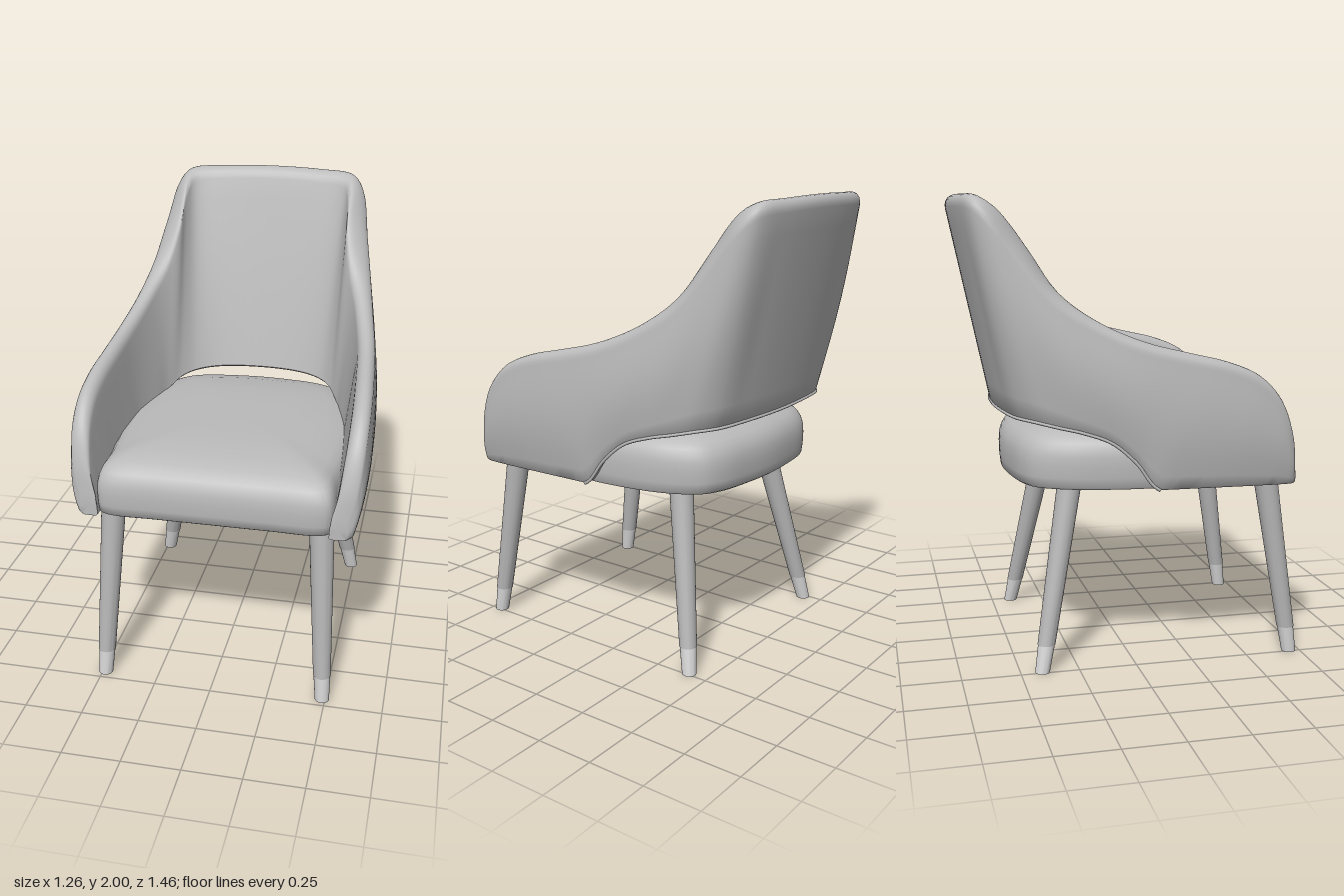
import * as THREE from 'three';
import { toCreasedNormals } from 'three/addons/utils/BufferGeometryUtils.js';

const V = (x, y, z) => new THREE.Vector3(x, y, z);
const BASE = 0.782; // underside of the upholstery

// Skins a list of equal-length closed point rings and caps both ends.
function loft(rings, crease) {
  const n = rings[0].length, pos = [], idx = [];
  rings.forEach(r => r.forEach(p => pos.push(p.x, p.y, p.z)));
  for (let i = 0; i < rings.length - 1; i++) {
    for (let j = 0; j < n; j++) {
      const a = i * n + j, b = i * n + (j + 1) % n;
      idx.push(a, b, a + n, b, b + n, a + n);
    }
  }
  [0, rings.length - 1].forEach((k, end) => {
    const c = rings[k].reduce((s, p) => s.add(p), V(0, 0, 0)).divideScalar(n);
    const m = pos.length / 3;
    pos.push(c.x, c.y, c.z);
    for (let j = 0; j < n; j++) {
      const a = k * n + j, b = k * n + (j + 1) % n;
      if (end) idx.push(a, b, m); else idx.push(b, a, m);
    }
  });
  const g = new THREE.BufferGeometry();
  g.setAttribute('position', new THREE.Float32BufferAttribute(pos, 3));
  g.setIndex(idx);
  return toCreasedNormals(g, crease);
}

// Shell stations from back centre to arm front:
// outer top xyz, outer bottom xyz, inner bottom xz
const STATIONS = [
  [0, 2.0, -0.735, 0, 1.085, -0.54, 0, -0.415],
  [0.25, 1.995, -0.72, 0.25, 1.085, -0.525, 0.2, -0.385],
  [0.405, 1.985, -0.685, 0.4, 1.08, -0.49, 0.3, -0.33],
  [0.45, 1.945, -0.635, 0.475, 1.07, -0.42, 0.355, -0.265],
  [0.482, 1.8, -0.52, 0.515, 1.05, -0.33, 0.385, -0.21],
  [0.522, 1.61, -0.375, 0.54, 1.03, -0.24, 0.41, -0.15],
  [0.555, 1.487, -0.2, 0.557, 0.985, -0.12, 0.428, -0.06],
  [0.588, 1.4, 0, 0.567, 0.9, -0.02, 0.437, 0.02],
  [0.606, 1.35, 0.2, 0.575, BASE, 0.08, 0.445, 0.1],
  [0.618, 1.31, 0.37, 0.582, BASE, 0.3, 0.465, 0.3],
  [0.622, 1.25, 0.505, 0.587, BASE, 0.48, 0.478, 0.48],
  [0.617, 1.15, 0.6, 0.587, BASE, 0.61, 0.488, 0.61],
  [0.6, 1.0, 0.658, 0.58, BASE, 0.66, 0.488, 0.665],
  [0.565, 0.87, 0.68, 0.56, BASE, 0.682, 0.488, 0.685],
];

// Samples a smooth curve through half a list of points and its mirror image.
function mirroredPoints(half, count) {
  const other = half.slice(1).reverse().map(p => V(-p.x, p.y, p.z));
  const points = new THREE.CatmullRomCurve3([...other, ...half]).getPoints(count);
  points.forEach(p => { p.y = Math.max(p.y, BASE); });
  return points;
}

// Cross-section of the shell: outer face, rounded top, inner face.
function shellRing(top, bottom, inner) {
  const d = inner.clone().sub(bottom);
  const wide = d.length();
  d.normalize();
  const up = top.clone().sub(bottom);
  const h = up.length();
  up.normalize();
  // The rim is thickest where the wings turn into the back.
  const wing = Math.exp(-(((bottom.z + 0.34) / 0.15) ** 2));
  const thin = Math.min(wide, 0.08 + 0.045 * wing), r = Math.min(thin * 0.6, h * 0.4);
  const ring = [];
  const add = (y, across) => ring.push(bottom.clone().addScaledVector(up, y).addScaledVector(d, across));
  const N = 10;
  const bulge = 0.024 * Math.min(1, h / 0.5) * THREE.MathUtils.clamp((Math.abs(bottom.x) - 0.3) * 6, 0, 1);
  add(0, 0.008);
  for (let i = 0; i <= N; i++) {
    const v = i / N;
    add(0.008 + (h - r - 0.008) * v, -bulge * Math.sin(Math.PI * v));
  }
  for (let i = 1; i < N; i++) {
    const a = Math.PI * i / N;
    add(h - r + r * Math.sin(a), thin * (1 - Math.cos(a)) / 2);
  }
  for (let i = N; i >= 0; i--) {
    const v = i / N;
    add(0.008 + (h - r - 0.008) * v, wide + (thin - wide) * v);
  }
  add(0, wide - 0.008);
  // The lower edge dips toward the inside of the back.
  const dip = Math.min(0.022, bottom.y - BASE);
  ring.forEach(p => {
    const across = p.clone().sub(bottom).dot(d) / wide;
    p.y -= dip * THREE.MathUtils.clamp(across, 0, 1) * Math.max(0, 1 - (p.y - bottom.y) / h);
  });
  return ring;
}

const M = 130; // five samples between neighbouring stations
const outerEdge = mirroredPoints(STATIONS.map(s => V(s[3], s[4], s[5])), M);

function shellGeometry() {
  const top = mirroredPoints(STATIONS.map(s => V(s[0], s[1], s[2])), M);
  const inner = mirroredPoints(STATIONS.map(s => V(s[6], s[4], s[7])), M);
  return loft(top.map((p, i) => shellRing(p, outerEdge[i], inner[i])), 0.9);
}

// Domed cushion: one plan outline, drawn in through a rounded profile.
function seatGeometry() {
  const half = [[0.25, 0.684], [0.45, 0.682], [0.494, 0.655], [0.505, 0.5], [0.525, 0.3], [0.54, 0.08],
    [0.525, -0.12], [0.485, -0.29], [0.41, -0.42], [0.32, -0.468], [0.16, -0.495]];
  const pts = [V(0, 0, 0.684), ...half.map(p => V(p[0], 0, p[1])), V(0, 0, -0.505),
    ...half.slice().reverse().map(p => V(-p[0], 0, p[1]))];
  const outline = new THREE.CatmullRomCurve3(pts, true).getPoints(144).slice(0, -1);
  // Width scale, depth scale, height
  const profile = [[0.4, 0.4, BASE], [0.98, 0.97, BASE], [0.99, 0.99, 0.79], [0.998, 0.998, 0.83],
    [1, 1, 0.88], [0.997, 0.995, 0.92], [0.985, 0.98, 0.95], [0.965, 0.955, 0.975], [0.935, 0.92, 0.995],
    [0.87, 0.86, 1.014], [0.72, 0.72, 1.035], [0.45, 0.45, 1.047], [0.2, 0.2, 1.05]];
  const mid = 0.09;
  const rings = profile.map(([sx, sz, y]) => outline.map(p => V(p.x * sx, y, mid + (p.z - mid) * sz)));
  return loft(rings, 0.9);
}

// Tapered round section between two heights, sheared to follow a splayed leg.
function splayed(foot, head, y0, y1, r0, r1) {
  const g = new THREE.CylinderGeometry(r1, r0, y1 - y0, 28);
  g.translate(0, (y0 + y1) / 2, 0);
  const p = g.attributes.position;
  for (let i = 0; i < p.count; i++) {
    const c = foot.clone().lerp(head, p.getY(i) / head.y);
    p.setXYZ(i, p.getX(i) + c.x, p.getY(i), p.getZ(i) + c.z);
  }
  return toCreasedNormals(g, 0.7);
}

export function createModel() {
  const chair = new THREE.Group();
  chair.name = 'armchair';
  const material = (name, color) => {
    const m = new THREE.MeshStandardMaterial({ color });
    m.name = name;
    return m;
  };
  const fabric = material('greyFabric', 0xbababa);
  const wood = material('greyLeg', 0xb4b4b4);
  const metal = material('paleMetal', 0xd4d4d4);
  const add = (name, geometry, mat) => {
    const m = new THREE.Mesh(geometry, mat);
    m.name = name;
    chair.add(m);
  };

  add('backAndArms', shellGeometry(), fabric);
  add('seatCushion', seatGeometry(), fabric);

  // Piping along the outer edge of the opening under the back
  const opening = new THREE.CatmullRomCurve3(outerEdge.slice(25, M - 24));
  add('piping', new THREE.TubeGeometry(opening, 120, 0.007, 8), fabric);

  // Four splayed legs with pale tips
  for (const side of [1, -1]) {
    const legs = [
      ['front', V(0.487 * side, 0, 0.703), V(0.448 * side, 0.8, 0.588)],
      ['rear', V(0.487 * side, 0, -0.408), V(0.335 * side, 0.8, -0.255)],
    ];
    for (const [place, foot, head] of legs) {
      const label = place + (side > 0 ? 'Left' : 'Right');
      add(label + 'Leg', splayed(foot, head, 0.115, 0.8, 0.038, 0.053), wood);
      add(label + 'LegTip', splayed(foot, head, 0, 0.115, 0.031, 0.036), metal);
    }
  }
  return chair;
}
